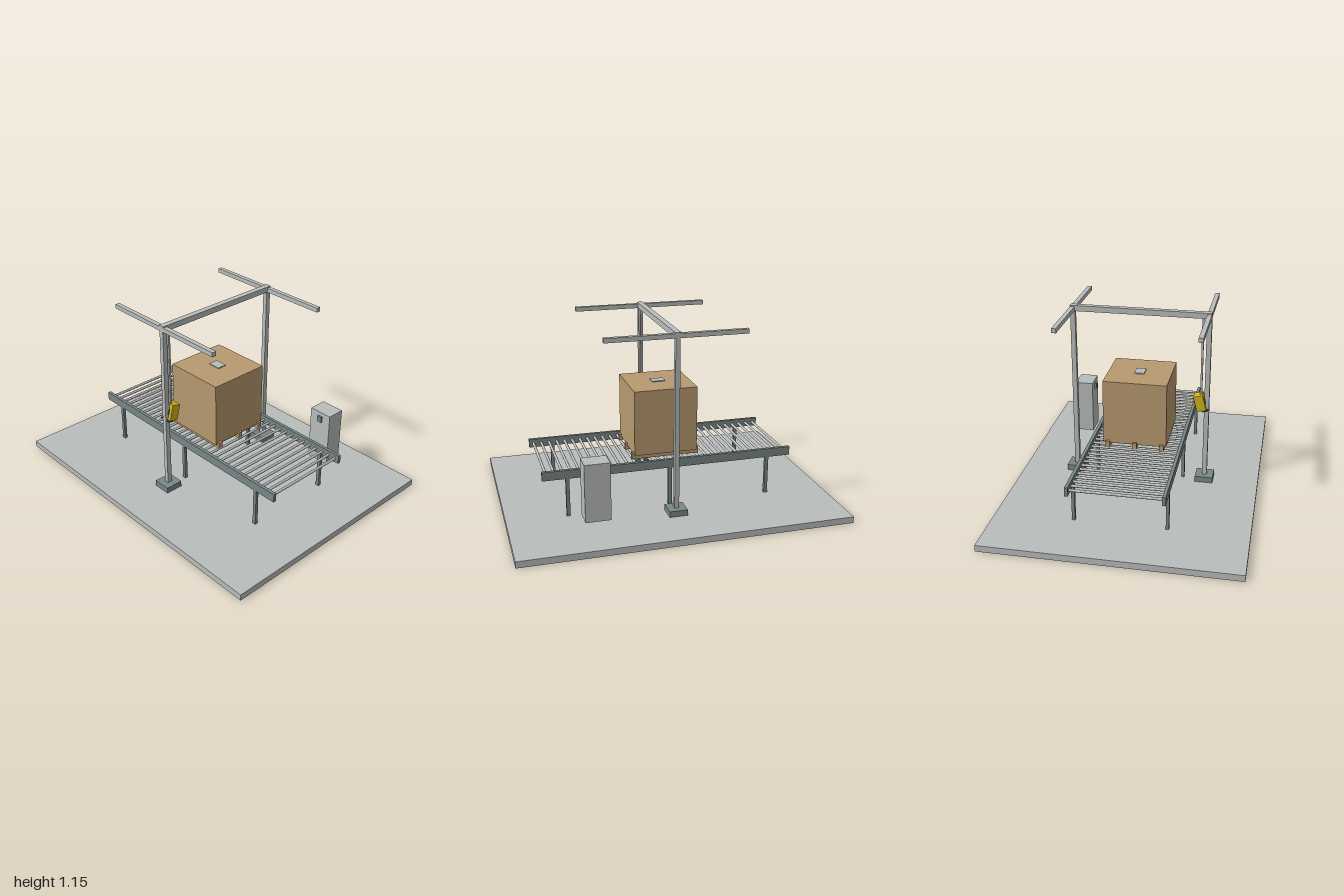
import * as THREE from 'three';

const mat = (name, color) => {
  const m = new THREE.MeshStandardMaterial({ color });
  m.name = name;
  return m;
};

export function createModel() {
  const root = new THREE.Group();
  root.name = 'palletScanStation';
  const lightGrey = mat('lightGrey', 0xb9bdbb);
  const steel = mat('steelGrey', 0x7a8788);
  const cardboard = mat('cardboard', 0xb89a70);
  const yellow = mat('yellow', 0xd0b418);
  const dark = mat('darkGrey', 0x4a5055);

  const group = (name) => {
    const g = new THREE.Group();
    g.name = name;
    root.add(g);
    return g;
  };
  // Box given by its extents along each axis
  const box = (parent, name, m, [x0, x1], [y0, y1], [z0, z1]) => {
    const mesh = new THREE.Mesh(new THREE.BoxGeometry(x1 - x0, y1 - y0, z1 - z0), m);
    mesh.position.set((x0 + x1) / 2, (y0 + y1) / 2, (z0 + z1) / 2);
    mesh.name = name;
    parent.add(mesh);
    return mesh;
  };
  const around = (c, half) => [c - half, c + half];

  // Floor slab
  box(root, 'floorSlab', lightGrey, [-1, 1], [0, 0.04], [-0.757, 0.757]);

  // Portal frame: feet, posts, cross arms and the beam between them
  const portal = group('portalFrame');
  for (const s of [1, -1]) {
    const z = s * 0.417;
    box(portal, 'postFoot', steel, around(0, 0.056), [0.04, 0.077], around(z, 0.056));
    box(portal, 'post', lightGrey, around(0, 0.014), [0.077, 1.15], around(z, 0.015));
    box(portal, 'crossArm', lightGrey, around(0, 0.425), [1.118, 1.145], around(z, 0.014));
  }
  box(portal, 'topBeam', lightGrey, around(0, 0.018), [1.118, 1.153], around(0, 0.432));
  box(portal, 'scannerRod', lightGrey, around(0, 0.007), [0.6, 1.118], around(0.38, 0.006));

  // Roller conveyor
  const conveyor = group('conveyor');
  for (const s of [1, -1]) {
    const z = s * 0.279;
    box(conveyor, 'sideRail', steel, around(0, 0.778), [0.28, 0.334], around(z, 0.01));
    for (const x of [-0.628, 0, 0.628])
      box(conveyor, 'leg', steel, around(x, 0.011), [0.04, 0.28], around(z, 0.0095));
  }
  const rollerGeo = new THREE.CylinderGeometry(0.0085, 0.0085, 0.538, 12).rotateX(Math.PI / 2);
  for (let i = 0; i < 31; i++) {
    const roller = new THREE.Mesh(rollerGeo, lightGrey);
    roller.name = 'roller';
    roller.position.set(-0.75 + i * 0.05, 0.306, 0);
    conveyor.add(roller);
  }

  // Carton on pallet runners, with a label plate on top
  const load = group('load');
  box(load, 'carton', cardboard, around(0, 0.197), [0.34, 0.747], around(0, 0.196));
  for (const z of [-0.168, 0, 0.168])
    box(load, 'palletRunner', cardboard, around(0, 0.212), [0.315, 0.355], around(z, 0.014));
  box(load, 'topLabel', lightGrey, around(0, 0.041), [0.746, 0.753], around(0, 0.03));

  // Tilted scanner head facing the carton
  const scanner = group('scannerHead');
  scanner.position.set(0, 0.575, 0.376);
  scanner.rotation.x = -0.25;
  box(scanner, 'scannerBody', yellow, around(0, 0.035), around(0, 0.05), around(0, 0.029));
  box(scanner, 'scannerWindow', dark, around(0, 0.023), around(0.005, 0.022), [-0.034, -0.028]);
  box(scanner, 'scannerMount', dark, around(0, 0.016), around(0, 0.018), [0.028, 0.036]);
  box(scanner, 'scannerTray', dark, around(0, 0.038), [-0.058, -0.05], [0.005, 0.04]);

  // Control cabinet
  const cabinet = group('controlCabinet');
  box(cabinet, 'cabinetBody', lightGrey, [0.421, 0.573], [0.102, 0.456], [-0.532, -0.415]);
  box(cabinet, 'cabinetPanel', steel, [0.483, 0.515], [0.391, 0.43], [-0.416, -0.403]);

  return root;
}
